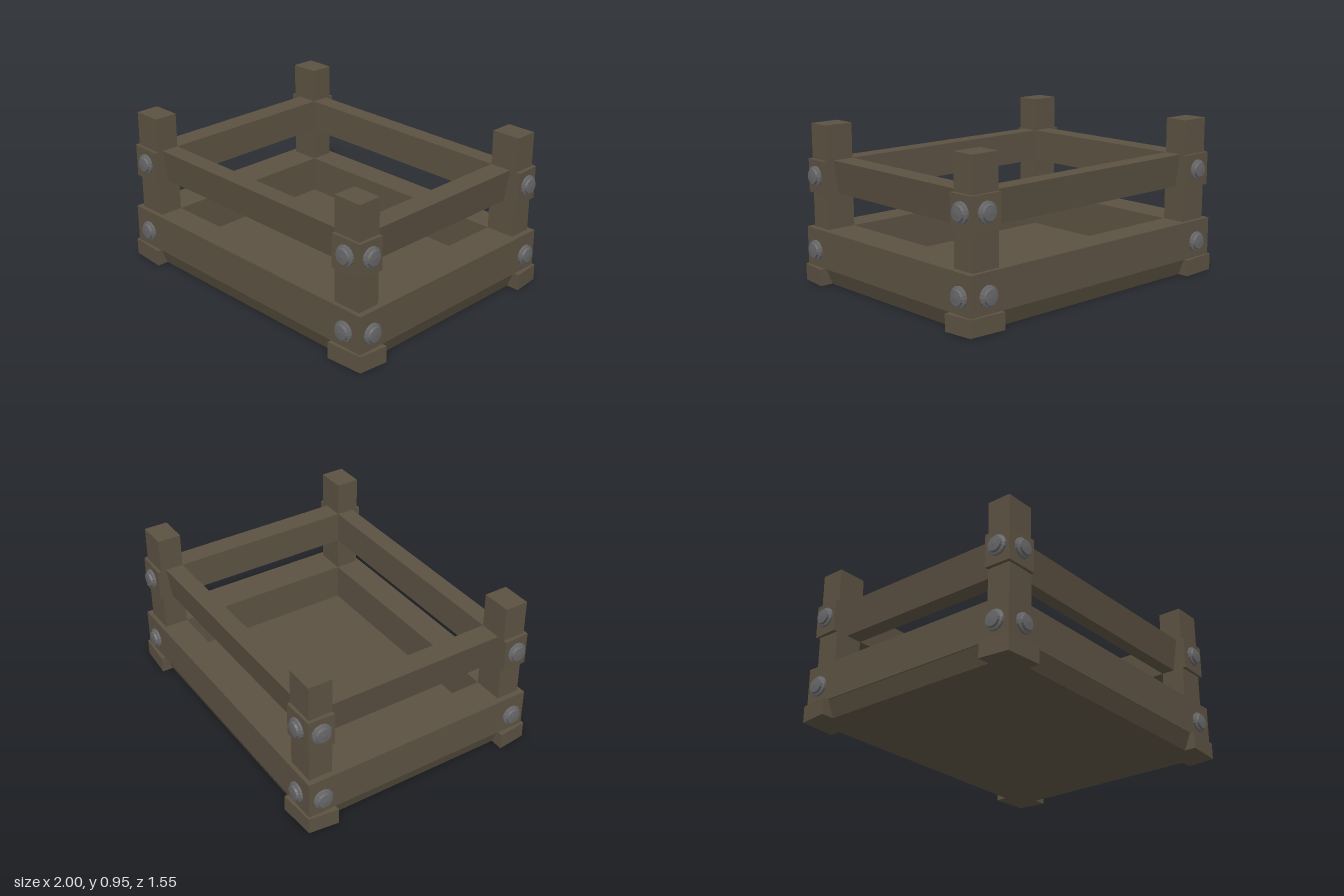
import * as THREE from 'three';

const wood = new THREE.MeshStandardMaterial({ color: 0x5c5242, flatShading: true });
const iron = new THREE.MeshStandardMaterial({ color: 0x68686a });

export function createModel() {
  const model = new THREE.Group();

  const add = (name, geometry, material = wood) => {
    const mesh = new THREE.Mesh(geometry, material);
    mesh.name = name;
    model.add(mesh);
    return mesh;
  };

  // box given by its limits
  const block = (x0, x1, y0, y1, z0, z1) =>
    new THREE.BoxGeometry(Math.abs(x1 - x0), y1 - y0, Math.abs(z1 - z0))
      .translate((x0 + x1) / 2, (y0 + y1) / 2, (z0 + z1) / 2);

  // draws in the lower edge wherever a vertex lies outside the given half sizes
  const lean = (geometry, yLow, limitX, limitZ, amount) => {
    const p = geometry.attributes.position;
    for (let i = 0; i < p.count; i++) {
      if (p.getY(i) > yLow + 0.001) continue;
      const x = p.getX(i), z = p.getZ(i);
      if (Math.abs(x) > limitX) p.setX(i, x - Math.sign(x) * amount);
      if (Math.abs(z) > limitZ) p.setZ(i, z - Math.sign(z) * amount);
    }
    geometry.computeVertexNormals();
    return geometry;
  };

  // upright corner block whose outer faces flare away from the corner
  const cornerBlock = (sx, sz, y0, y1, xSide, xCorner, zSide, zCorner) => {
    const points = [[0.75, 0.57], [0.75, zSide], [xCorner, zCorner], [xSide, 0.57]];
    const shape = new THREE.Shape(points.map(([x, z]) => new THREE.Vector2(x * sx, z * sz)));
    return new THREE.ExtrudeGeometry(shape, { depth: y1 - y0, bevelEnabled: false })
      .rotateX(Math.PI / 2).translate(0, y1, 0);
  };

  // round bolt head, standing along +y
  const boltProfile = [[0, -0.01], [0.06, -0.01], [0.06, 0.012], [0.046, 0.018], [0.043, 0.03], [0, 0.034]]
    .map(([r, y]) => new THREE.Vector2(r, y));
  const boltGeometry = new THREE.LatheGeometry(boltProfile, 16).toNonIndexed();
  boltGeometry.computeVertexNormals();

  // base slab with sides leaning in below
  add('base', lean(block(-0.96, 0.96, 0, 0.1, -0.735, 0.735), 0, 0.8, 0.6, 0.04));

  // lower boards and upper rails
  for (const s of [-1, 1]) {
    add('lowerLongBoard', block(-0.967, 0.967, 0.1, 0.33, s * 0.57, s * 0.74));
    add('lowerSideBoard', block(s * 0.75, s * 0.967, 0.1, 0.33, -0.57, 0.57));
    add('upperLongRail', lean(block(-0.75, 0.75, 0.54, 0.74, s * 0.57, s * 0.68), 0.54, 2, 0.6, 0.03));
    add('upperSideRail', lean(block(s * 0.75, s * 0.885, 0.54, 0.74, -0.57, 0.57), 0.54, 0.8, 2, 0.03));
  }

  // corners: foot, post, collar and bolts
  for (const sx of [-1, 1]) for (const sz of [-1, 1]) {
    add('cornerFoot', cornerBlock(sx, sz, 0, 0.1, 1, 0.98, 0.765, 0.75));
    add('post', block(sx * 0.75, sx * 0.932, 0.1, 0.95, sz * 0.57, sz * 0.715));
    add('collar', cornerBlock(sx, sz, 0.54, 0.74, 0.957, 0.95, 0.735, 0.73));
    for (const [y, x, z] of [[0.2, 0.967, 0.74], [0.645, 0.953, 0.732]]) {
      const front = add('bolt', boltGeometry, iron);
      front.position.set(sx * 0.848, y, sz * z);
      front.rotation.x = sz * Math.PI / 2;
      const side = add('bolt', boltGeometry, iron);
      side.position.set(sx * x, y, sz * 0.652);
      side.rotation.z = -sx * Math.PI / 2;
    }
  }
  return model;
}
